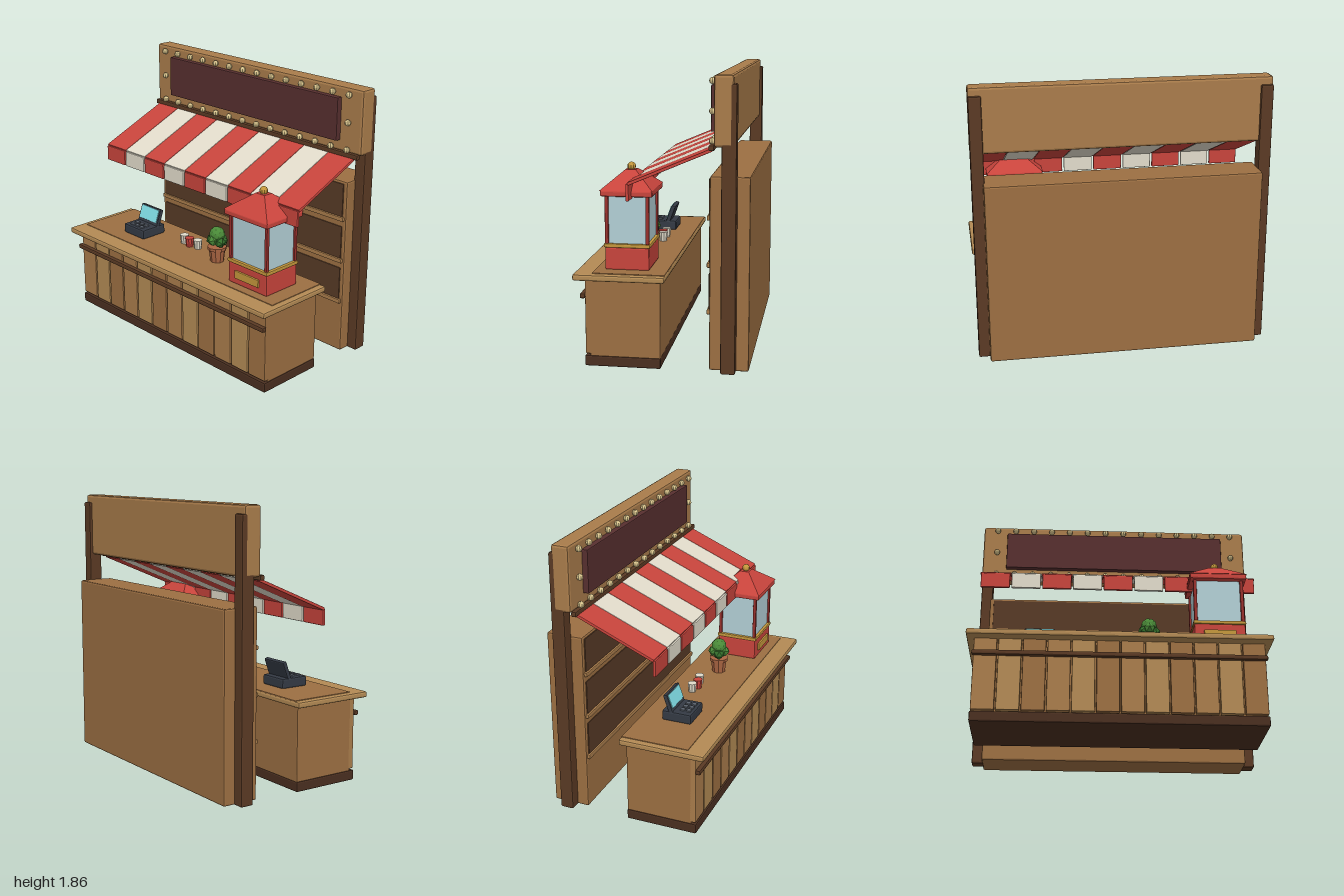
import * as THREE from 'three';
import { RoundedBoxGeometry } from 'three/addons/geometries/RoundedBoxGeometry.js';

const C = {
  wood: 0x9c6f42, light: 0xb38a54, mid: 0xa97c4b, dark: 0x5a3a24, base: 0x4a2f20, recess: 0x573a26,
  sign: 0x572f2f, red: 0xc8443c, deepRed: 0x98302c, cream: 0xe2dccb, bulb: 0xd8c48c, gold: 0xc4973c,
  glass: 0xb3d0d6, black: 0x343a44, key: 0x5a616c, screen: 0x7fdce4, pot: 0xaa6542, leaf: 0x4a8a38, leafDark: 0x35702c,
};
const materials = {};
const mat = (color) => (materials[color] ??= new THREE.MeshStandardMaterial({ color, flatShading: true }));

function add(parent, name, geometry, color, x = 0, y = 0, z = 0) {
  const mesh = new THREE.Mesh(geometry, mat(color));
  mesh.name = name;
  mesh.position.set(x, y, z);
  parent.add(mesh);
  return mesh;
}

// Bevelled box given by its lower and upper limits on each axis
function box(parent, name, color, [x0, x1], [y0, y1], [z0, z1], bevel = 0.006) {
  const w = x1 - x0, h = y1 - y0, d = z1 - z0;
  const r = Math.min(bevel, Math.min(w, h, d) * 0.3);
  return add(parent, name, new RoundedBoxGeometry(w, h, d, 1, r), color, (x0 + x1) / 2, (y0 + y1) / 2, (z0 + z1) / 2);
}

function group(parent, name, x = 0, y = 0, z = 0) {
  const g = new THREE.Group();
  g.name = name;
  g.position.set(x, y, z);
  parent.add(g);
  return g;
}

function buildCounter(root) {
  const g = group(root, 'counter');
  box(g, 'counterBase', C.base, [-0.95, 0.95], [0, 0.07], [0, 0.49], 0.01);
  box(g, 'counterBody', C.wood, [-0.945, 0.945], [0.065, 0.57], [0.002, 0.455]);
  const count = 12, pitch = 1.9 / count;
  const tones = [C.mid, C.wood, C.light];
  for (let i = 0; i < count; i++) {
    const x = -0.95 + i * pitch;
    box(g, 'counterPlank', tones[(i * 2) % 3], [x + 0.005, x + pitch - 0.005], [0.08, 0.57], [0.44, 0.485]);
  }
  box(g, 'counterRail', C.dark, [-0.955, 0.955], [0.443, 0.477], [0.483, 0.518], 0.01);
  box(g, 'counterTop', C.light, [-0.995, 0.995], [0.567, 0.608], [-0.03, 0.555], 0.012);
  box(g, 'counterWorkSurface', C.wood, [-0.953, 0.953], [0.6, 0.613], [-0.026, 0.435], 0.002);
}

function buildBack(root) {
  const g = group(root, 'backWall');
  box(g, 'backCabinet', C.wood, [-0.918, 0.918], [0, 1.238], [-0.555, -0.303], 0.012);
  // Three shelf bays, each with a dark back and a lip
  for (const y of [0.375, 0.675, 0.975]) {
    box(g, 'shelfBack', C.recess, [-0.89, 0.89], [y + 0.015, y + 0.245], [-0.32, -0.296], 0.003);
    box(g, 'shelfLip', C.mid, [-0.905, 0.905], [y - 0.015, y + 0.015], [-0.32, -0.284]);
  }
  for (const s of [-1, 1]) {
    box(g, 'post', C.dark, [s * 0.949 - 0.042, s * 0.949 + 0.042], [0, 1.808], [-0.475, -0.382], 0.01);
  }
}

function buildSign(root) {
  const g = group(root, 'sign');
  box(g, 'signBoard', C.mid, [-0.992, 0.992], [1.425, 1.862], [-0.455, -0.335], 0.017);
  box(g, 'signPanel', C.sign, [-0.813, 0.813], [1.5, 1.79], [-0.345, -0.296]);
  const bulb = new THREE.SphereGeometry(0.022, 8, 6);
  const spots = [[-0.887, 1.635], [0.887, 1.635]];
  for (let i = 0; i < 14; i++) {
    const x = -0.887 + (i * 1.774) / 13;
    spots.push([x, 1.82], [x, 1.452]);
  }
  for (const [x, y] of spots) add(g, 'bulb', bulb, C.bulb, x, y, -0.315);
}

function buildAwning(root) {
  const g = group(root, 'awning');
  box(g, 'awningRail', C.dark, [-0.985, 0.985], [1.402, 1.437], [-0.337, -0.302], 0.008);
  const count = 9, pitch = 1.91 / count;
  const from = new THREE.Vector2(-0.32, 1.405), to = new THREE.Vector2(0.205, 1.182);
  const length = from.distanceTo(to), tilt = Math.atan2(from.y - to.y, to.x - from.x);
  for (let i = 0; i < count; i++) {
    const color = i % 2 ? C.cream : C.red;
    const x = -0.955 + (i + 0.5) * pitch;
    const stripe = add(g, 'awningStripe', new RoundedBoxGeometry(pitch - 0.002, 0.02, length, 1, 0.004), color,
      x, (from.y + to.y) / 2, (from.x + to.x) / 2);
    stripe.rotation.x = tilt;
    box(g, 'awningValance', color, [x - pitch / 2 + 0.006, x + pitch / 2 - 0.006], [1.073, 1.183], [0.197, 0.217]);
  }
}

function buildPopcornMachine(root) {
  const g = group(root, 'popcornMachine', 0.672, 0.61, 0.232);
  const block = (name, color, w, d, y0, y1, bevel) => box(g, name, color, [-w / 2, w / 2], [y0, y1], [-d / 2, d / 2], bevel);
  block('machineBase', C.red, 0.345, 0.285, 0, 0.147, 0.01);
  block('machineTrim', C.gold, 0.355, 0.297, 0.145, 0.17);
  block('machineGlass', C.glass, 0.315, 0.258, 0.168, 0.475, 0.002);
  for (const sx of [-1, 1]) for (const sz of [-1, 1]) {
    const x = sx * 0.159, z = sz * 0.131;
    box(g, 'machinePost', C.deepRed, [x - 0.012, x + 0.012], [0.168, 0.48], [z - 0.012, z + 0.012]);
  }
  block('roofRim', C.red, 0.385, 0.335, 0.475, 0.515, 0.01);
  // Four-sided truncated roof
  const roof = new THREE.CylinderGeometry(0.2 * Math.SQRT1_2, Math.SQRT1_2, 0.115, 4);
  roof.rotateY(Math.PI / 4);
  roof.scale(0.39, 1, 0.34);
  add(g, 'roof', roof, C.red, 0, 0.57, 0);
  add(g, 'roofBall', new THREE.SphereGeometry(0.028, 10, 8), C.gold, 0, 0.645, 0);
  box(g, 'machinePlate', C.gold, [-0.108, 0.108], [0.045, 0.1], [0.135, 0.156]);
}

function buildRegister(root) {
  const g = group(root, 'cashRegister', -0.533, 0.61, 0.22);
  box(g, 'registerBase', C.black, [-0.108, 0.108], [0, 0.07], [-0.1, 0.107], 0.012);
  for (let row = 0; row < 2; row++) for (let i = -1; i <= 1; i++) {
    box(g, 'registerKey', C.key, [i * 0.048 - 0.017, i * 0.048 + 0.017], [0.065, 0.079],
      [0.055 - row * 0.043, 0.085 - row * 0.043], 0.003);
  }
  const display = group(g, 'registerDisplay', 0, 0.06, -0.02);
  display.rotation.x = -0.35;
  box(display, 'displayCase', C.black, [-0.105, 0.105], [0, 0.135], [-0.03, 0], 0.008);
  box(display, 'displayScreen', C.screen, [-0.092, 0.092], [0.03, 0.125], [-0.006, 0.005], 0.002);
}

function buildCups(root) {
  const cup = new THREE.CylinderGeometry(0.032, 0.025, 0.065, 10);
  [[-0.178, C.cream], [-0.108, C.red], [-0.038, C.cream]].forEach(([x, color], i) =>
    add(root, 'cup', cup, color, x, 0.645, i === 1 ? 0.165 : 0.15));
}

function buildPlant(root) {
  const g = group(root, 'pottedPlant', 0.21, 0.61, 0.2);
  add(g, 'pot', new THREE.CylinderGeometry(0.058, 0.047, 0.095, 10), C.pot, 0, 0.048, 0);
  add(g, 'potRim', new THREE.CylinderGeometry(0.068, 0.066, 0.022, 10), C.pot, 0, 0.1, 0);
  // Faceted leaf clumps around a taller centre
  add(g, 'leafTop', new THREE.IcosahedronGeometry(0.055, 1), C.leaf, 0, 0.198, 0);
  for (let i = 0; i < 5; i++) {
    const a = (i / 5) * Math.PI * 2 + 0.3;
    const clump = add(g, 'leafClump', new THREE.IcosahedronGeometry(0.042, 0), i % 2 ? C.leaf : C.leafDark,
      Math.cos(a) * 0.037, 0.152 + (i % 2) * 0.012, Math.sin(a) * 0.037);
    clump.rotation.set(i, a, 0);
  }
}

export function createModel() {
  const root = new THREE.Group();
  root.name = 'snackStall';
  for (const build of [buildCounter, buildBack, buildSign, buildAwning, buildPopcornMachine, buildRegister, buildCups, buildPlant]) {
    build(root);
  }
  return root;
}
